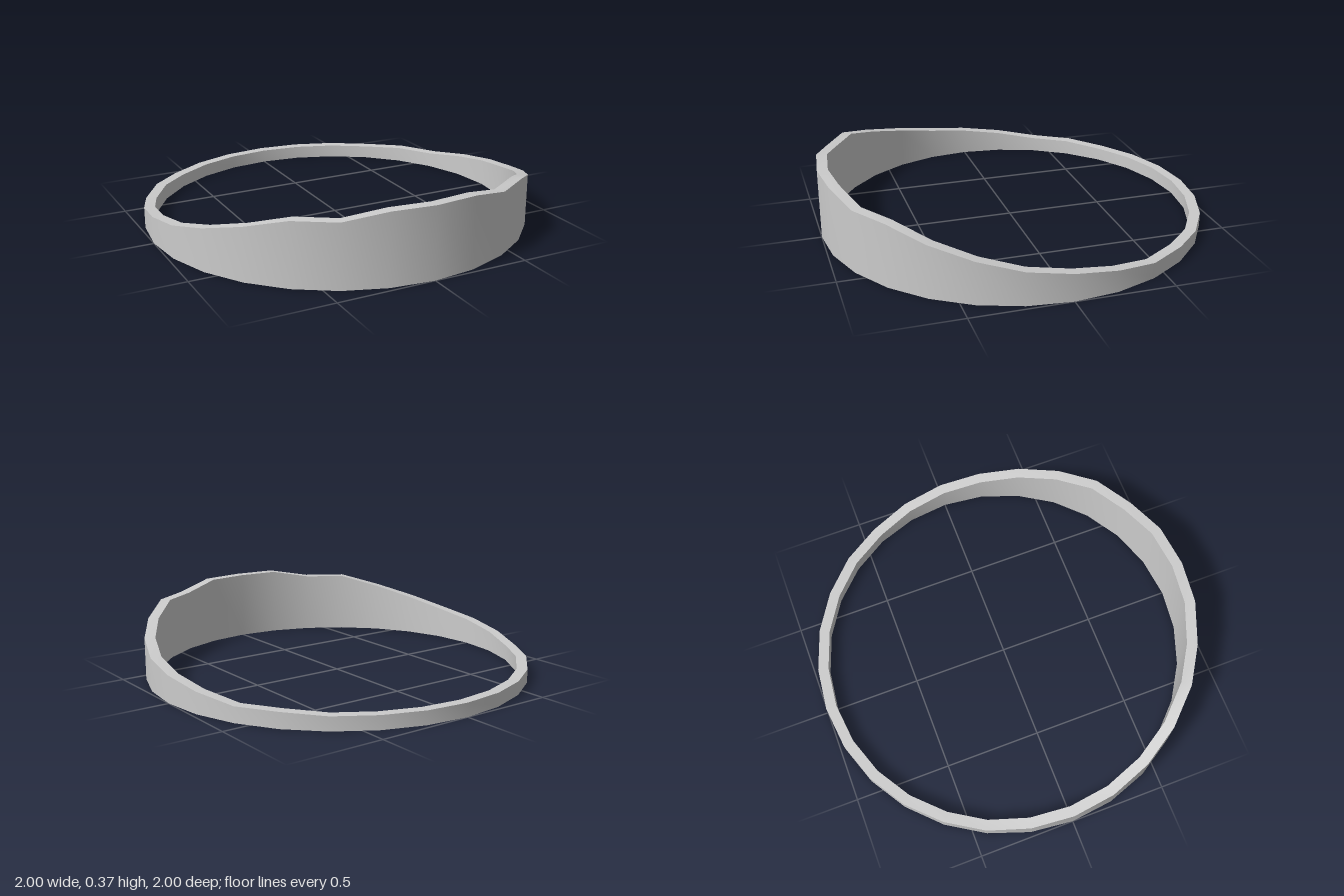
import * as THREE from 'three';
import { toCreasedNormals } from 'three/addons/utils/BufferGeometryUtils.js';

const SIDES = 28;
const OUTER = 1;
const INNER = 0.945;

// Rim height at each step from the front (0) round to the back (14)
const RIM = [0.365, 0.365, 0.325, 0.325, 0.27, 0.217, 0.17, 0.14, 0.11, 0.08, 0.08, 0.07, 0.07, 0.07, 0.07];

export function createModel() {
  const group = new THREE.Group();
  group.name = 'ring';

  // Closed rectangular section swept round the vertical axis
  const section = [[INNER, 0], [OUTER, 0], [OUTER, 1], [INNER, 1], [INNER, 0]]
    .map(([r, y]) => new THREE.Vector2(r, y));
  const lathe = new THREE.LatheGeometry(section, SIDES);

  // Lower the top edge to the rim height, mirrored left and right
  const pos = lathe.attributes.position;
  for (let i = 0; i < pos.count; i++) {
    if (pos.getY(i) < 0.5) continue;
    const angle = Math.abs(Math.atan2(pos.getX(i), pos.getZ(i)));
    pos.setY(i, RIM[Math.round(angle / (2 * Math.PI) * SIDES)]);
  }

  const band = new THREE.Mesh(
    toCreasedNormals(lathe, 0.6),
    new THREE.MeshStandardMaterial({ color: 0xcccccc })
  );
  band.name = 'band';
  group.add(band);
  return group;
}
